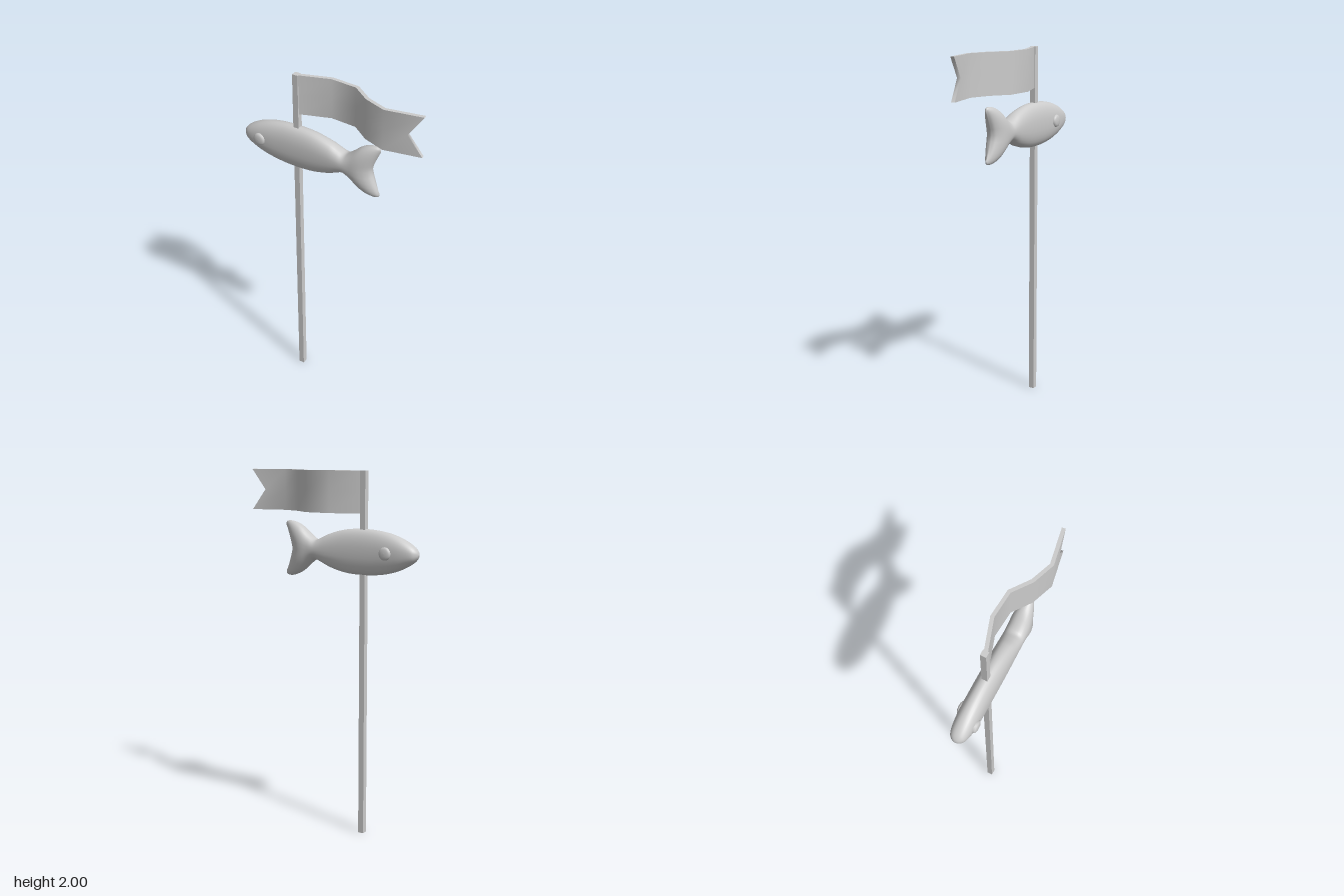
import * as THREE from 'three';
import { mergeVertices } from 'three/addons/utils/BufferGeometryUtils.js';

const material = new THREE.MeshStandardMaterial({ color: 0xcccccc });
const POLE_X = -0.21, MID_Z = -0.008, FISH_Y = 1.572;

function addMesh(group, name, geometry) {
  const mesh = new THREE.Mesh(geometry, material);
  mesh.name = name;
  group.add(mesh);
  return mesh;
}

// Fish: rounded cross-sections along x, bent back at mid-height to fork the tail
function fishGeometry() {
  const stations = [ // x, half height, half width
    [-0.54, 0, 0], [-0.533, 0.019, 0.02], [-0.512, 0.042, 0.04], [-0.455, 0.076, 0.053],
    [-0.38, 0.103, 0.057], [-0.29, 0.119, 0.057], [-0.2, 0.123, 0.057], [-0.1, 0.116, 0.057],
    [0, 0.09, 0.057], [0.05, 0.067, 0.057], [0.085, 0.055, 0.057], [0.12, 0.075, 0.057],
    [0.18, 0.125, 0.057], [0.225, 0.146, 0.052], [0.26, 0.152, 0.041],
    [0.282, 0.147, 0.024], [0.29, 0.13, 0],
  ];
  const curve = new THREE.CatmullRomCurve3(stations.map((s) => new THREE.Vector3(...s)));
  const rings = 64, sides = 32, positions = [], indices = [];
  const round = (v) => Math.sign(v) * Math.abs(v) ** 0.88;
  for (let i = 0; i <= rings; i++) {
    const { x, y: h, z: w } = curve.getPoint(i / rings);
    const notch = 0.05 * THREE.MathUtils.smoothstep(x, 0.1, 0.28);
    for (let j = 0; j < sides; j++) {
      const a = (j / sides) * Math.PI * 2;
      const v = round(Math.cos(a));
      positions.push(x - notch * (1 - Math.abs(v) ** 1.25), v * h, round(Math.sin(a)) * w);
      if (i === rings) continue;
      const p = i * sides + j, q = i * sides + ((j + 1) % sides);
      indices.push(p, q, p + sides, q, q + sides, p + sides);
    }
  }
  let geometry = new THREE.BufferGeometry();
  geometry.setAttribute('position', new THREE.Float32BufferAttribute(positions, 3));
  geometry.setIndex(indices);
  geometry = mergeVertices(geometry, 1e-5);
  geometry.computeVertexNormals();
  return geometry;
}

// Flag: a thin box whose columns follow a waving line, with a notched free end
function flagGeometry() {
  const path = [[-0.2, -0.007], [-0.03, -0.063], [0.12, -0.053], [0.22, 0.02], [0.337, 0.062], [0.537, 0.025]]
    .map((p) => new THREE.Vector2(...p));
  const last = path.length - 1, height = 0.225;
  const geometry = new THREE.BoxGeometry(last, height, 2, last, 2, 1);
  const pos = geometry.attributes.position;
  for (let k = 0; k < pos.count; k++) {
    const i = Math.round(pos.getX(k) + last / 2);
    const tangent = path[Math.min(i + 1, last)].clone().sub(path[Math.max(i - 1, 0)]).normalize();
    const p = path[i].clone();
    if (i === last && Math.abs(pos.getY(k)) < 0.01) p.lerp(path[last - 1], 0.39);
    const side = pos.getZ(k) * 0.01;
    pos.setXYZ(k, p.x - tangent.y * side, pos.getY(k) + 2 - height / 2, p.y + tangent.x * side);
  }
  geometry.computeVertexNormals();
  return geometry;
}

export function createModel() {
  const group = new THREE.Group();
  group.name = 'fishWeathervane';

  // Square pole
  addMesh(group, 'pole', new THREE.BoxGeometry(0.032, 2, 0.032)).position.set(POLE_X, 1, MID_Z);

  // Pennant
  addMesh(group, 'flag', flagGeometry());

  // Fish body and tail
  addMesh(group, 'fish', fishGeometry()).position.set(0, FISH_Y, MID_Z);

  // Button eyes, slightly staggered
  const profile = [[0.035, -0.012], [0.035, 0.004], [0.032, 0.01], [0.024, 0.014], [0.012, 0.016], [0, 0.0165]]
    .map((p) => new THREE.Vector2(...p));
  for (const [name, x, s] of [['frontEye', -0.42, 1], ['backEye', -0.368, -1]]) {
    const eye = addMesh(group, name, new THREE.LatheGeometry(profile, 24));
    eye.position.set(x, FISH_Y + 0.003, MID_Z + s * 0.053);
    eye.rotation.x = s * Math.PI / 2;
  }
  return group;
}
